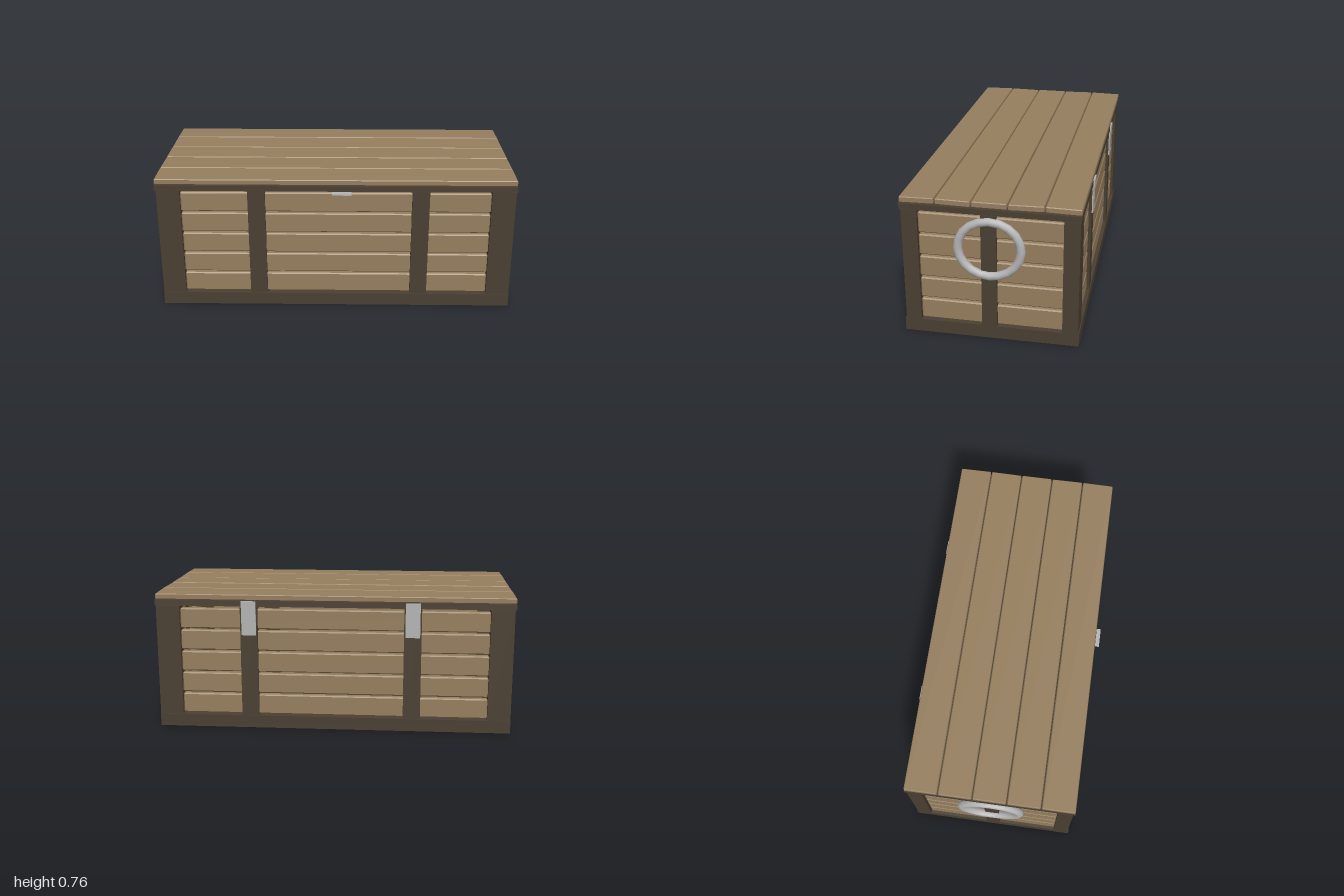
import * as THREE from 'three';
import { ConvexGeometry } from 'three/addons/geometries/ConvexGeometry.js';

const wood = new THREE.MeshStandardMaterial({ color: 0x957e5e });
wood.name = 'plank wood';
const dark = new THREE.MeshStandardMaterial({ color: 0x4a3f32 });
dark.name = 'dark frame wood';
const metal = new THREE.MeshStandardMaterial({ color: 0xb4b4b4 });
metal.name = 'grey metal';

// Box with chamfered edges, centred on the origin
function chamferBox(w, h, d, c) {
  const pts = [];
  for (const sx of [-1, 1]) for (const sy of [-1, 1]) for (const sz of [-1, 1]) {
    for (let k = 0; k < 3; k++) {
      pts.push(new THREE.Vector3(
        sx * (w / 2 - (k === 0 ? 0 : c)),
        sy * (h / 2 - (k === 1 ? 0 : c)),
        sz * (d / 2 - (k === 2 ? 0 : c))));
    }
  }
  return new ConvexGeometry(pts);
}

// Add a box given by its limits on each axis
function block(parent, name, material, [x0, x1], [y0, y1], [z0, z1], chamfer = 0) {
  const w = x1 - x0, h = y1 - y0, d = z1 - z0;
  const geo = chamfer ? chamferBox(w, h, d, chamfer) : new THREE.BoxGeometry(w, h, d);
  const mesh = new THREE.Mesh(geo, material);
  mesh.name = name;
  mesh.position.set((x0 + x1) / 2, (y0 + y1) / 2, (z0 + z1) / 2);
  parent.add(mesh);
  return mesh;
}

export function createModel() {
  const chest = new THREE.Group();
  chest.name = 'chest';
  const postY = [0.07, 0.686];
  const braceX = [[-0.48, -0.385], [0.415, 0.51]];

  // Base
  block(chest, 'base', dark, [-0.975, 0.975], [0, 0.07], [-0.465, 0.443]);

  // Corner posts
  for (const x of [[-0.975, -0.848], [0.845, 0.975]])
    for (const z of [[0.355, 0.436], [-0.46, -0.379]])
      block(chest, 'cornerPost', dark, x, postY, z);

  // Middle posts on the long walls and on the ends
  for (const x of braceX) {
    block(chest, 'frontPost', dark, x, postY, [0.376, 0.436]);
    block(chest, 'backPost', dark, x, postY, [-0.46, -0.4]);
  }
  for (const x of [[-0.975, -0.915], [0.915, 0.975]])
    block(chest, 'endPost', dark, x, postY, [-0.045, 0.034]);

  // Wall planks, five rows with open gaps
  for (let i = 0; i < 5; i++) {
    const y = [0.075 + i * 0.1215, 0.186 + i * 0.1215];
    block(chest, 'frontPlank', wood, [-0.848, 0.845], y, [0.381, 0.421], 0.006);
    block(chest, 'backPlank', wood, [-0.848, 0.845], y, [-0.445, -0.405], 0.006);
    block(chest, 'leftPlank', wood, [0.92, 0.96], y, [-0.379, 0.355], 0.006);
    block(chest, 'rightPlank', wood, [-0.96, -0.92], y, [-0.379, 0.355], 0.006);
  }

  // Lid: panel, battens and five slightly uneven planks
  const lid = new THREE.Group();
  lid.name = 'lid';
  chest.add(lid);
  block(lid, 'lidPanel', dark, [-0.982, 0.979], [0.69, 0.72], [-0.465, 0.446]);
  for (const x of braceX) block(lid, 'lidBatten', dark, x, [0.719, 0.727], [-0.46, 0.44]);
  const tilts = [0.017, -0.017, 0, 0.017, -0.017];
  tilts.forEach((tilt, i) => {
    const z = 0.443 - i * 0.1828;
    const plank = block(lid, 'lidPlank', wood, [-0.98, 0.976], [0.725, 0.756], [z - 0.176, z], 0.004);
    plank.rotation.x = tilt;
  });

  // Back hinges: strap on the post and leaf on the lid
  for (const x of [-0.432, 0.462]) {
    block(chest, 'hingeStrap', metal, [x - 0.04, x + 0.04], [0.53, 0.69], [-0.466, -0.459]);
    block(chest, 'hingeLeaf', metal, [x - 0.04, x + 0.04], [0.682, 0.72], [-0.472, -0.463]);
  }

  // Front latch tab
  block(chest, 'latch', metal, [-0.02, 0.085], [0.677, 0.685], [0.41, 0.47]);

  // Oval ring handles on both ends
  for (const side of [-1, 1]) {
    const ring = new THREE.Mesh(new THREE.TorusGeometry(0.155, 0.0225, 10, 20), metal);
    ring.name = side > 0 ? 'leftHandle' : 'rightHandle';
    ring.scale.set(1.035, 0.957, 1);
    ring.rotation.y = side * Math.PI / 2;
    ring.position.set(side * 0.9775, 0.508, -0.01);
    chest.add(ring);
  }
  return chest;
}
